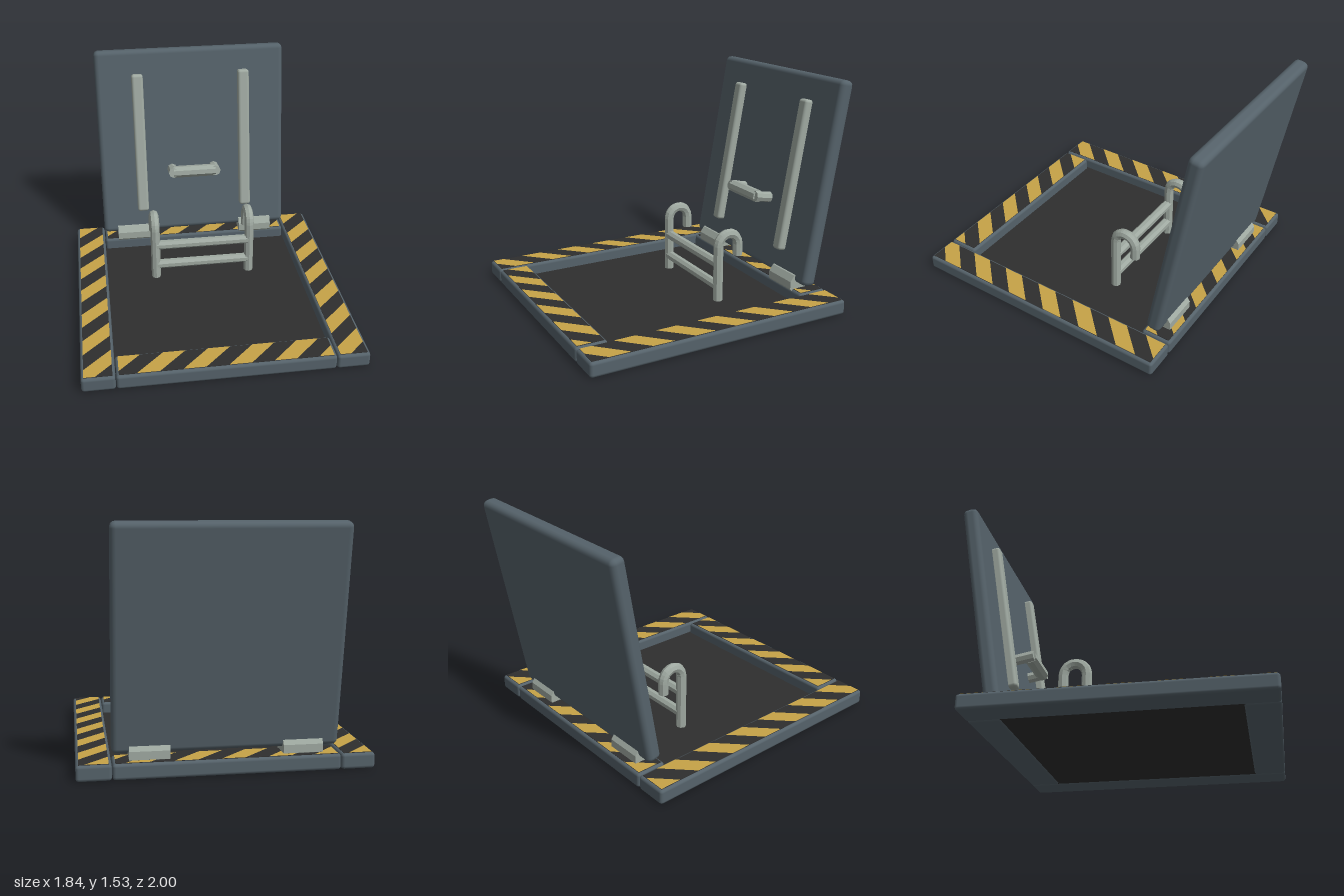
import * as THREE from 'three';
import { RoundedBoxGeometry } from 'three/addons/geometries/RoundedBoxGeometry.js';

const mat = (color, flatShading = false, side = THREE.FrontSide) =>
  new THREE.MeshStandardMaterial({ color, flatShading, side });
const slate = mat(0x55626a);
const metal = mat(0x9fa9a1);
const metalFlat = mat(0x9fa9a1, true);
const dark = mat(0x2e2e2e);
const yellow = mat(0xc6a347, false, THREE.DoubleSide);

function add(parent, name, geometry, material, x = 0, y = 0, z = 0) {
  const mesh = new THREE.Mesh(geometry, material);
  mesh.name = name;
  mesh.position.set(x, y, z);
  parent.add(mesh);
  return mesh;
}

const block = (w, h, d, r) => new RoundedBoxGeometry(w, h, d, 2, r);

// Eight-sided bar lying along x
function barX(length, radius, sides = 8) {
  return new THREE.CylinderGeometry(radius, radius, length, sides)
    .rotateY(Math.PI / sides).rotateZ(Math.PI / 2);
}

// Keeps the part of a polygon where side(p) >= 0
function clip(points, side) {
  const out = [];
  points.forEach((p, i) => {
    const q = points[(i + 1) % points.length];
    const a = side(p), b = side(q);
    if (a >= 0) out.push(p);
    if (a * b < 0) out.push(p.clone().lerp(q, a / (a - b)));
  });
  return out;
}

// Diagonal yellow bands filling a rectangle; u = x and v = -z
function bandGeometry(u0, u1, v0, v1) {
  const pitch = 0.29, width = 0.145, shapes = [];
  for (let c = u0 - v1; c < u1 - v0; c += pitch) {
    let poly = [[c + v0, v0], [c + width + v0, v0], [c + width + v1, v1], [c + v1, v1]]
      .map(([u, v]) => new THREE.Vector2(u, v));
    poly = clip(clip(poly, p => p.x - u0), p => u1 - p.x);
    if (poly.length > 2) shapes.push(new THREE.Shape(poly));
  }
  return new THREE.ShapeGeometry(shapes).rotateX(-Math.PI / 2);
}

// Frame beam with a hazard strip on its top
function beam(parent, name, x0, x1, z0, z1) {
  const group = new THREE.Group();
  group.name = name;
  const cx = (x0 + x1) / 2, cz = (z0 + z1) / 2, m = 0.018;
  add(group, name + 'Body', block(x1 - x0, 0.1, z1 - z0, 0.02), slate, cx, 0.05, cz);
  add(group, name + 'StripBase',
    new THREE.BoxGeometry(x1 - x0 - 2 * m, 0.004, z1 - z0 - 2 * m), dark, cx, 0.1, cz);
  add(group, name + 'Stripes',
    bandGeometry(x0 + m, x1 - m, -z1 + m, -z0 - m), yellow, 0, 0.1035, 0);
  parent.add(group);
}

// Hooked ladder post: straight up, then a half circle down towards the back
function postGeometry() {
  const zc = -0.283, yc = 0.413, r = 0.077;
  const path = new THREE.CurvePath();
  const points = [new THREE.Vector3(0, 0.015, zc + r)];
  for (let i = 0; i <= 8; i++) {
    const a = (i / 8) * Math.PI;
    points.push(new THREE.Vector3(0, yc + r * Math.sin(a), zc + r * Math.cos(a)));
  }
  points.push(new THREE.Vector3(0, 0.325, zc - r));
  for (let i = 1; i < points.length; i++) path.add(new THREE.LineCurve3(points[i - 1], points[i]));
  return new THREE.TubeGeometry(path, 44, 0.034, 8, false);
}

export function createModel() {
  const model = new THREE.Group();
  model.name = 'openHatch';

  // Frame and pit floor
  beam(model, 'leftBeam', 0.705, 0.92, -0.85, 1);
  beam(model, 'rightBeam', -0.92, -0.705, -0.85, 1);
  beam(model, 'frontBeam', -0.702, 0.702, 0.785, 1);
  beam(model, 'backBeam', -0.702, 0.702, -0.85, -0.64);
  add(model, 'pitFloor', new THREE.BoxGeometry(1.44, 0.012, 1.45), dark, 0, 0.014, 0.073);

  // Leaning lid with two ribs and a pull handle on its inner face
  const lid = new THREE.Group();
  lid.name = 'lid';
  lid.position.set(0, 0.835, -0.835);
  lid.rotation.x = -THREE.MathUtils.degToRad(10);
  model.add(lid);
  add(lid, 'lidPanel', block(1.41, 1.41, 0.1, 0.035), slate);

  const handle = new THREE.Group();
  handle.name = 'lidHandle';
  handle.position.set(0, -0.214, 0.15);
  lid.add(handle);
  add(handle, 'handleGrip', barX(0.32, 0.045), metalFlat);

  // Ladder standing in the pit
  const ladder = new THREE.Group();
  ladder.name = 'ladder';
  model.add(ladder);
  const post = postGeometry();
  for (const y of [0.123, 0.285])
    add(ladder, 'ladderRung', barX(0.7, 0.034), metalFlat, 0, y, -0.206);

  for (const s of [-1, 1]) {
    add(lid, 'lidRib', block(0.085, 1.06, 0.07, 0.02), metal, s * 0.397, 0, 0.069);
    const neck = new THREE.CylinderGeometry(0.038, 0.038, 0.15, 8).rotateX(Math.PI / 2);
    add(handle, 'handleNeck', neck, metalFlat, s * 0.16, 0, -0.045);
    add(model, 'hinge', barX(0.25, 0.084, 10), metalFlat, s * 0.475, 0.13, -0.712);
    add(ladder, 'ladderPost', post, metalFlat, s * 0.347);
    // Closed tips of the hooks
    const cap = new THREE.CircleGeometry(0.034, 8).rotateX(Math.PI / 2);
    add(ladder, 'hookTip', cap, metalFlat, s * 0.347, 0.325, -0.36);
  }
  return model;
}
